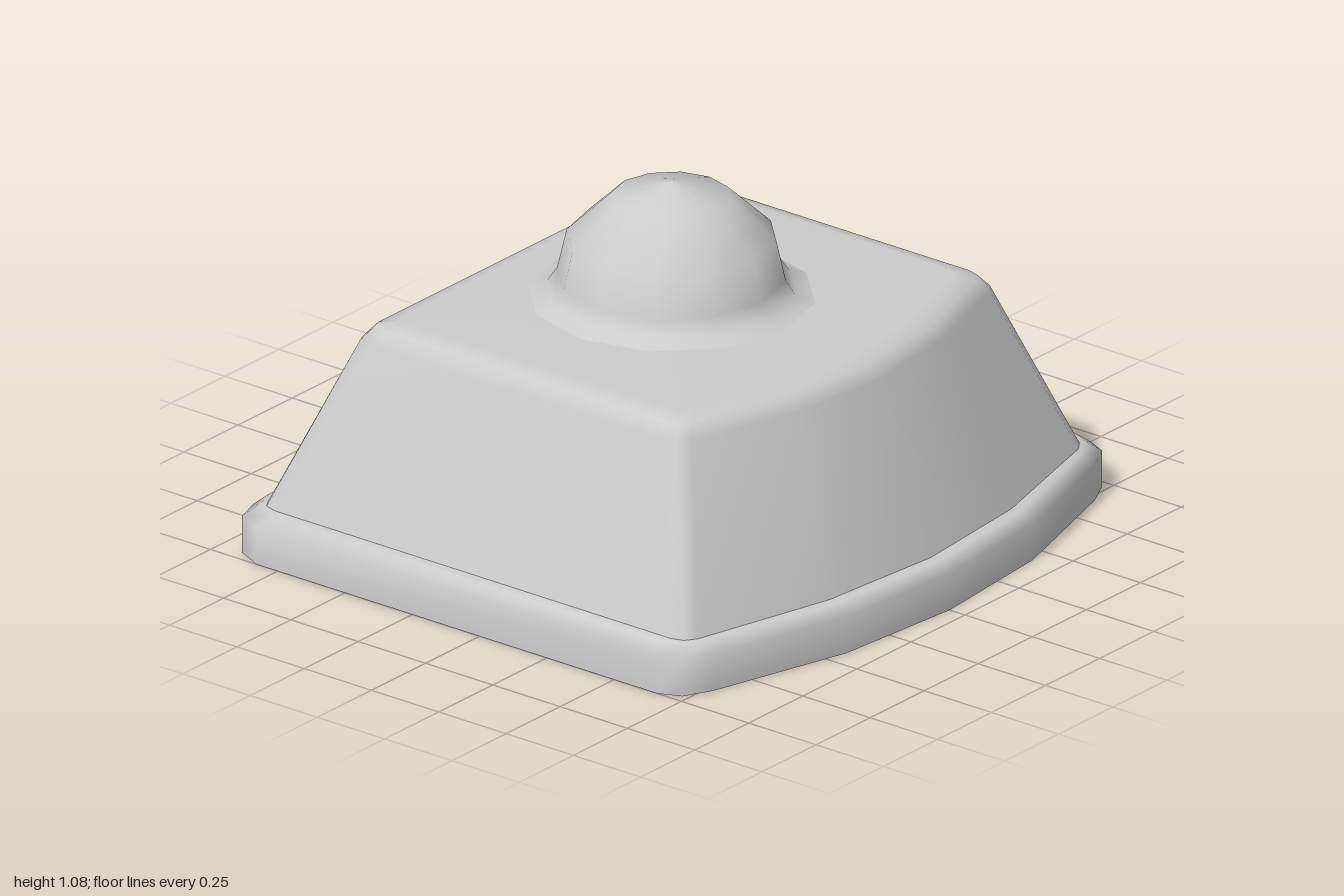
import * as THREE from 'three';

// Half outlines [x, z] from the back corner round to the front centre.
const plateHalf = [[0.87, -0.945], [0.96, -0.915], [1, -0.83], [1, 0.66], [0.97, 0.73], [0.88, 0.775], [0.43, 0.905], [0, 0.943]];
const bodyLowHalf = [[0.88, -0.88], [0.915, -0.86], [0.927, -0.82], [0.927, 0.65], [0.915, 0.69], [0.88, 0.715], [0.42, 0.835], [0, 0.873]];
const bodyHighHalf = [[0.69, -0.68], [0.725, -0.665], [0.735, -0.62], [0.735, 0.47], [0.725, 0.51], [0.69, 0.54], [0.34, 0.647], [0, 0.685]];

// Mirrors a half outline into a closed ring at height y.
function ring(half, y, s = 1) {
  const left = half.slice(0, -1).reverse().map(([x, z]) => [-x, z]);
  return [...half, ...left].map(([x, z]) => [x * s, y, z * s]);
}

// Joins rings from bottom to top; optional centre points close the ends.
function loft(rings, topCentre, bottomCentre) {
  const n = rings[0].length;
  const points = rings.flat();
  const index = [];
  for (let r = 0; r < rings.length - 1; r++) {
    for (let i = 0; i < n; i++) {
      const a = r * n + i, b = r * n + (i + 1) % n;
      index.push(a, a + n, b, b, a + n, b + n);
    }
  }
  const last = (rings.length - 1) * n;
  if (topCentre) {
    const c = points.push(topCentre) - 1;
    for (let i = 0; i < n; i++) index.push(c, last + (i + 1) % n, last + i);
  }
  if (bottomCentre) {
    const c = points.push(bottomCentre) - 1;
    for (let i = 0; i < n; i++) index.push(c, i, (i + 1) % n);
  }
  const geometry = new THREE.BufferGeometry();
  geometry.setAttribute('position', new THREE.Float32BufferAttribute(points.flat(), 3));
  geometry.setIndex(index);
  geometry.computeVertexNormals();
  return geometry;
}

export function createModel() {
  const group = new THREE.Group();
  const grey = new THREE.MeshStandardMaterial({ color: 0xcccccc });
  grey.name = 'light grey';

  function add(name, geometry) {
    const mesh = new THREE.Mesh(geometry, grey);
    mesh.name = name;
    group.add(mesh);
    return mesh;
  }

  // Base plate with a bevelled rim and a bowed front
  add('basePlate', loft([
    ring(plateHalf, 0), ring(plateHalf, 0.115), ring(plateHalf, 0.147, 0.962), ring(bodyLowHalf, 0.147, 0.98),
  ]));
  add('underside', loft([ring(plateHalf, 0)], null, [0, 0, 0]));

  // Tapered body with a rounded upper edge
  add('body', loft([
    ring(bodyLowHalf, 0.147), ring(bodyHighHalf, 0.66),
    ring(bodyHighHalf, 0.7, 0.955), ring(bodyHighHalf, 0.716, 0.875),
  ], [0, 0.716, -0.09]));

  // Domed knob with a flared foot
  const profile = [[0.42, 0.716], [0.365, 0.735], [0.335, 0.78], [0.308, 0.9], [0.175, 1.027], [0, 1.075]]
    .map(([r, y]) => new THREE.Vector2(r, y));
  add('domeKnob', new THREE.LatheGeometry(profile, 12)).position.z = -0.09;

  return group;
}
